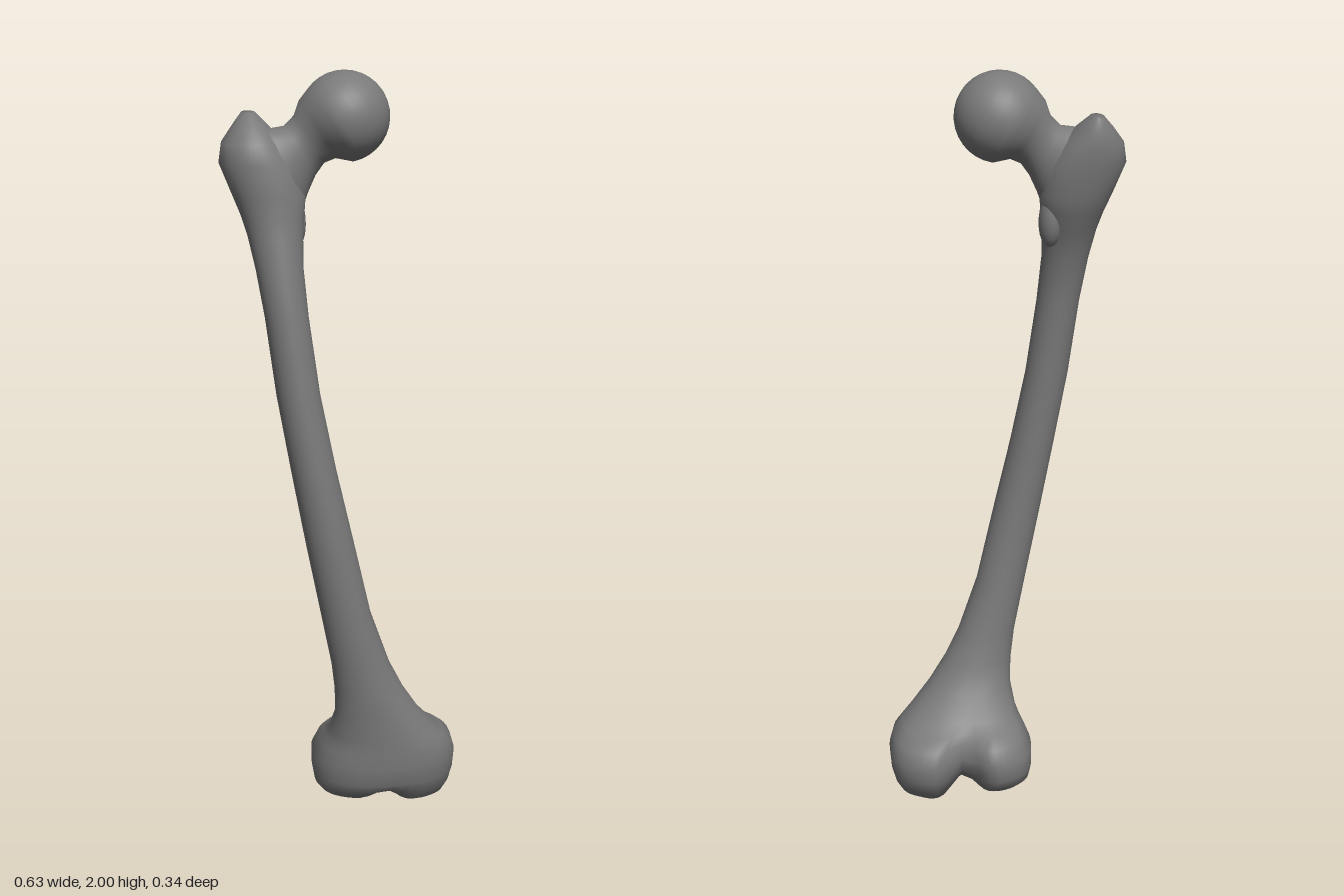
import * as THREE from 'three';

const SIDES = 48;
const bone = new THREE.MeshStandardMaterial({ color: 0x7a7a7a });
const { smoothstep } = THREE.MathUtils;

// Closed loft through rings [y, xMin, xMax, zMin, zMax, squareness], lowest first.
// The front half is rounder than the back; warp may move each point.
function loft(rings, warp = p => p) {
  const points = [], index = [], n = SIDES;
  const bend = (v, p) => Math.sign(v) * Math.abs(v) ** p;
  const middle = ([y, x0, x1, z0, z1]) => new THREE.Vector3((x0 + x1) / 2, y, (z0 + z1) / 2);
  for (const ring of rings) {
    const [, x0, x1, z0, z1, square = 1] = ring;
    for (let i = 0; i < n; i++) {
      const a = (i / n) * Math.PI * 2;
      const p = Math.sin(a) > 0 ? (square + 1) / 2 : square;
      const v = middle(ring);
      v.x += (x1 - x0) / 2 * bend(Math.cos(a), p);
      v.z += (z1 - z0) / 2 * bend(Math.sin(a), p);
      points.push(v);
    }
  }
  for (let r = 0; r < rings.length - 1; r++) {
    for (let i = 0; i < n; i++) {
      const a = r * n + i, b = r * n + (i + 1) % n;
      index.push(a, a + n, b, b, a + n, b + n);
    }
  }
  // End caps
  const last = (rings.length - 1) * n, mid = points.length;
  points.push(middle(rings[0]), middle(rings[rings.length - 1]));
  for (let i = 0; i < n; i++) {
    const j = (i + 1) % n;
    index.push(mid, i, j, mid + 1, last + j, last + i);
  }
  const g = new THREE.BufferGeometry().setFromPoints(points.map(warp));
  g.setIndex(index);
  g.computeVertexNormals();
  return g;
}

// Parts the knee end into two condyles: a notch behind, a groove below,
// and the lateral side sitting a little higher
function splitCondyles(v) {
  const groove = Math.exp(-(((v.x - 0.11) / 0.045) ** 2));
  const y = v.y;
  if (v.z < 0) {
    const depth = 0.35 + 0.35 * (1 - smoothstep(y, 0.03, 0.15));
    v.z *= 1 - groove * depth * (1 - smoothstep(y, 0.2, 0.25));
  }
  v.y += (1 - smoothstep(y, 0, 0.1)) * (0.04 * groove + 0.015 * (1 - smoothstep(v.x, 0, 0.2)));
  return v;
}

export function createModel() {
  const group = new THREE.Group();
  const add = (name, geometry, x = 0, y = 0, z = 0) => {
    const m = new THREE.Mesh(geometry, bone);
    m.name = name;
    m.position.set(x, y, z);
    group.add(m);
    return m;
  };

  // Condyles, bowed shaft and greater trochanter in one skin
  add('shaftAndCondyles', loft([
    [0.006, 0.08, 0.15, -0.06, 0.01, 0.8],
    [0.003, 0.03, 0.20, -0.075, 0.025, 0.75],
    [0.008, -0.01, 0.245, -0.09, 0.045, 0.72],
    [0.03, -0.055, 0.285, -0.118, 0.085, 0.72],
    [0.06, -0.074, 0.30, -0.147, 0.112, 0.72],
    [0.10, -0.08, 0.31, -0.169, 0.132, 0.72],
    [0.15, -0.08, 0.314, -0.173, 0.138, 0.72],
    [0.19, -0.063, 0.302, -0.157, 0.14, 0.74],
    [0.215, -0.05, 0.278, -0.125, 0.141, 0.78],
    [0.235, -0.04, 0.255, -0.072, 0.142, 0.85],
    [0.30, -0.027, 0.20, -0.02, 0.145, 0.95],
    [0.37, -0.03, 0.155, 0.002, 0.148],
    [0.45, -0.04, 0.115, 0.02, 0.15],
    [0.60, -0.07, 0.062, 0.035, 0.16],
    [0.80, -0.11, 0.016, 0.044, 0.17],
    [1.00, -0.147, -0.03, 0.041, 0.168],
    [1.20, -0.182, -0.07, 0.036, 0.158],
    [1.40, -0.208, -0.097, 0.025, 0.143],
    [1.52, -0.228, -0.107, 0.006, 0.124],
    [1.60, -0.245, -0.105, -0.025, 0.11],
    [1.65, -0.26, -0.10, -0.048, 0.102, 0.95],
    [1.70, -0.28, -0.095, -0.066, 0.10, 0.9],
    [1.78, -0.312, -0.11, -0.08, 0.097, 0.9],
    [1.83, -0.304, -0.15, -0.084, 0.085, 0.9],
    [1.87, -0.275, -0.185, -0.08, 0.05],
    [1.90, -0.25, -0.215, -0.07, 0.0],
  ], splitCondyles));

  // Neck swelling into the ball; local y runs to the head, local +x is the underside
  const neckRings = [
    [0.0, -0.07, 0.14, -0.03, 0.085],
    [0.03, -0.08, 0.135, -0.04, 0.083],
    [0.06, -0.078, 0.112, -0.045, 0.076],
    [0.10, -0.06, 0.086, -0.047, 0.07],
    [0.135, -0.068, 0.072, -0.053, 0.075],
    [0.165, -0.092, 0.077, -0.068, 0.097],
  ];
  for (let i = -2; i <= 8; i++) {
    const a = (i / 8.3) * Math.PI / 2, r = 0.114 * Math.cos(a);
    neckRings.push([0.24 + 0.114 * Math.sin(a), 0.002 - r, 0.002 + r, 0.017 - r * 1.02, 0.017 + r * 1.02]);
  }
  const neck = add('neckAndHead', loft(neckRings), -0.2, 1.765, 0);
  neck.rotation.z = Math.atan2(0.12, 0.19) - Math.PI / 2;

  // Small bump on the inner back edge of the shaft
  const bump = add('lesserTrochanter', new THREE.SphereGeometry(1, 20, 14), -0.127, 1.635, 0.008);
  bump.scale.set(0.033, 0.075, 0.042);
  bump.rotation.z = 0.08;

  return group;
}
